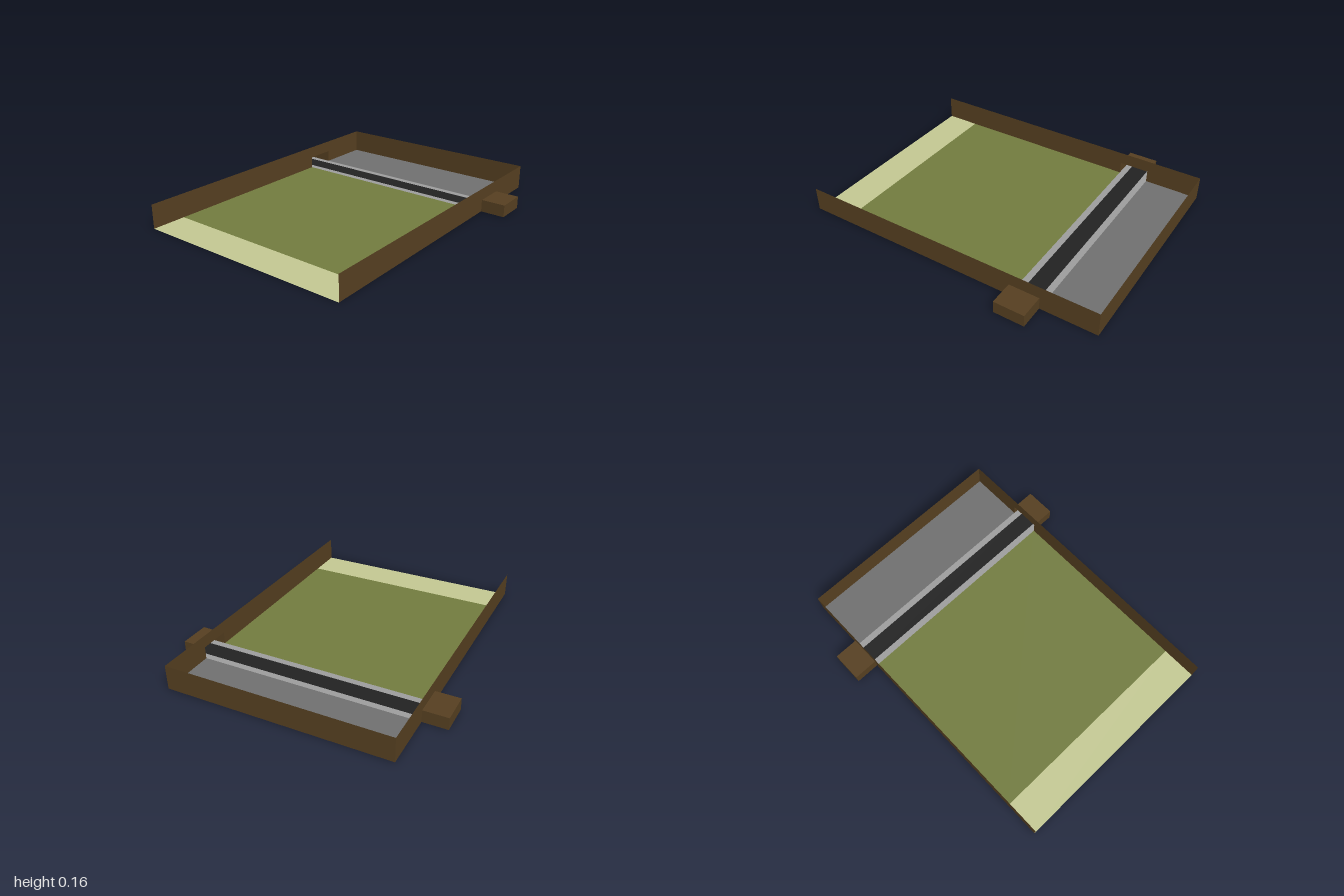
import * as THREE from 'three';

export function createModel() {
  const root = new THREE.Group();
  root.name = 'openTray';

  const mat = (name, color) => {
    const m = new THREE.MeshStandardMaterial({ color, side: THREE.DoubleSide });
    m.name = name;
    return m;
  };
  const brown = mat('brownWood', 0x574021);
  const green = mat('oliveGreen', 0x737d40);
  const pale = mat('paleGreen', 0xc5ca94);
  const grey = mat('midGrey', 0x717171);
  const light = mat('lightGrey', 0x9f9f9f);
  const black = mat('nearBlack', 0x222222);

  const W = 0.71, OUT = 0.865;       // half widths: tray, side boxes
  const H = 0.156, BH = 0.078;       // heights: walls, side boxes
  const Z0 = -0.643, Z1 = -0.448;    // channel across the tray

  const add = (name, geo, material, parent = root) => {
    const m = new THREE.Mesh(geo, material);
    m.name = name;
    parent.add(m);
    return m;
  };
  // Horizontal panel facing up
  const flat = (name, x0, x1, z0, z1, y, material, parent) =>
    add(name, new THREE.PlaneGeometry(x1 - x0, z1 - z0).rotateX(-Math.PI / 2)
      .translate((x0 + x1) / 2, y, (z0 + z1) / 2), material, parent);

  // Floor panels
  flat('rearFloor', -W, W, -1, Z0, 0, grey);
  flat('mainFloor', -W, W, Z1, 0.776, 0, green);
  flat('frontFloor', -W, W, 0.776, 1, 0, pale);

  // Striped channel floor, running into the side boxes
  flat('rearStripe', -OUT, OUT, Z0, -0.602, 0, light);
  flat('middleStripe', -OUT, OUT, -0.602, -0.489, 0, black);
  flat('frontStripe', -OUT, OUT, -0.489, Z1, 0, light);

  // Back wall
  add('backWall', new THREE.PlaneGeometry(2 * W, H).rotateY(Math.PI).translate(0, H / 2, -1), brown);

  // Side wall outline, notched where the channel passes through
  const outline = new THREE.Shape([
    [-1, 0], [Z0, 0], [Z0, BH], [Z1, BH], [Z1, 0], [1, 0], [1, H], [-1, H],
  ].map(([z, y]) => new THREE.Vector2(z, y)));

  for (const [side, s] of [['left', 1], ['right', -1]]) {
    const wall = new THREE.ShapeGeometry(outline).rotateY(-Math.PI / 2);
    add(side + 'Wall', wall.translate(s * W, 0, 0), brown);

    // Hollow side box, open towards the tray
    const box = new THREE.Group();
    box.name = side + 'Box';
    root.add(box);
    const mid = s * (W + OUT) / 2, len = OUT - W;
    flat('boxTop', mid - len / 2, mid + len / 2, Z0, Z1, BH, brown, box);
    add('boxEnd', new THREE.PlaneGeometry(Z1 - Z0, BH).rotateY(s * Math.PI / 2)
      .translate(s * OUT, BH / 2, (Z0 + Z1) / 2), brown, box);
    add('boxFront', new THREE.PlaneGeometry(len, BH).translate(mid, BH / 2, Z1), brown, box);
    add('boxBack', new THREE.PlaneGeometry(len, BH).rotateY(Math.PI).translate(mid, BH / 2, Z0), brown, box);
  }
  return root;
}
